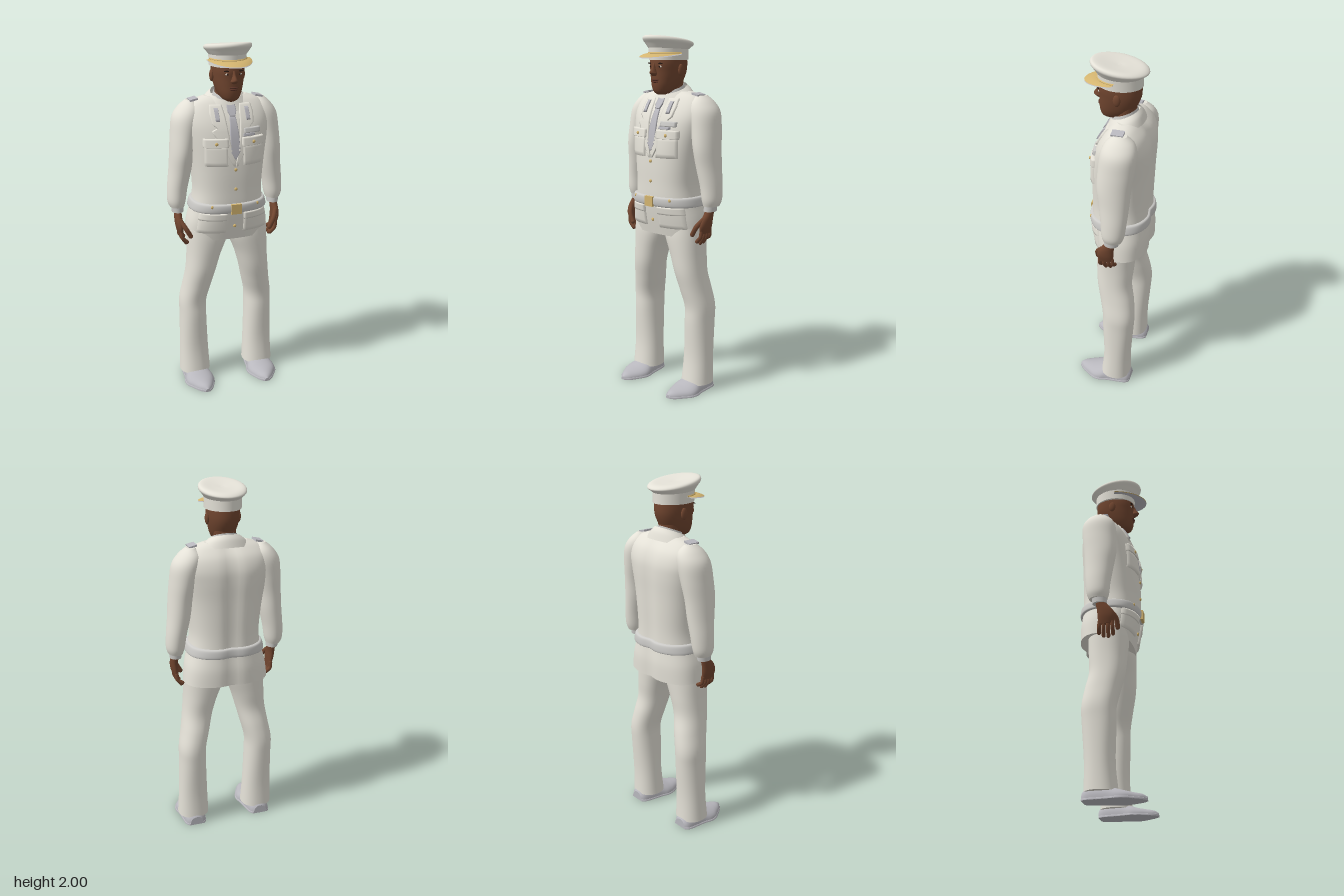
import * as THREE from 'three';
import { mergeGeometries } from 'three/addons/utils/BufferGeometryUtils.js';

const mat = (name, color) => new THREE.MeshStandardMaterial({ name, color, side: THREE.DoubleSide });
const cloth = mat('whiteCloth', 0xe4e1d7), grey = mat('grey', 0xb9b8be), pale = mat('paleGrey', 0xcbcac7);
const skin = mat('skin', 0x70452f), gold = mat('gold', 0xd4b570), dark = mat('darkBrown', 0x2a1c16);
const eyeWhite = mat('eyeWhite', 0xcfc6ba), lip = mat('lip', 0x5a3428);

// Grid surface from a rule f(i, j) -> [x, y, z]; wrap joins the last column to the first
function surface(nu, nv, f, wrap = false) {
  const pos = [], idx = [], cols = wrap ? nu : nu + 1;
  for (let j = 0; j <= nv; j++) for (let i = 0; i < cols; i++) pos.push(...f(i, j));
  for (let j = 0; j < nv; j++) for (let i = 0; i < nu; i++) {
    const k = (i + 1) % cols, a = j * cols + i, b = j * cols + k, c = a + cols, d = b + cols;
    idx.push(a, b, c, b, d, c);
  }
  const g = new THREE.BufferGeometry();
  g.setAttribute('position', new THREE.Float32BufferAttribute(pos, 3));
  g.setIndex(idx);
  g.computeVertexNormals();
  return g;
}

// Catmull-Rom refinement of a table of sections
function smooth(rows, k = 5) {
  const out = [], at = i => rows[Math.min(Math.max(i, 0), rows.length - 1)];
  for (let i = 0; i < rows.length - 1; i++) for (let q = 0; q < k; q++) {
    const t = q / k, [a, b, c, d] = [at(i - 1), at(i), at(i + 1), at(i + 2)];
    out.push(b.map((_, m) => 0.5 * (2 * b[m] + (c[m] - a[m]) * t + (2 * a[m] - 5 * b[m] + 4 * c[m] - d[m]) * t * t
      + (3 * b[m] - a[m] - 3 * c[m] + d[m]) * t * t * t)));
  }
  return [...out, at(rows.length)];
}

// Collapsed and doubled end rows make crisp flat caps
const capped = r => [{ row: r[0], k: 0 }, { row: r[0], k: 1 }, ...r.map(row => ({ row, k: 1 })),
  { row: r[r.length - 1], k: 1 }, { row: r[r.length - 1], k: 0 }];
const power = (v, e) => Math.sign(v) * Math.abs(v) ** e;

// Stack of level sections [y, cx, cz, rx, rz, slope], lowest first
function loft(rows, { n = 2, cap = true, groove = 0, k = 5, seg = 40 } = {}) {
  const r = smooth(rows, k), list = cap ? capped(r) : r.map(row => ({ row, k: 1 }));
  return surface(seg, list.length - 1, (i, j) => {
    const { row: [y, cx, cz, rx, rz, slope = 0], k: size } = list[j], a = i / seg * Math.PI * 2;
    const x = rx * size * power(Math.cos(a), 2 / n);
    let z = -rz * size * power(Math.sin(a), 2 / n);
    const yy = y + slope * z;
    if (z < 0) z += groove * Math.exp(-((x / 0.04) ** 2)) * size;
    return [cx + x, yy, cz + z];
  }, true);
}

// Jacket body: y, half width, front z, back z
const N = 2.5;
const body = [
  [0.91, 0.24, 0.103, -0.188], [1.0, 0.229, 0.122, -0.19], [1.08, 0.208, 0.135, -0.183], [1.13, 0.197, 0.138, -0.18],
  [1.2, 0.192, 0.138, -0.18], [1.3, 0.2, 0.138, -0.183], [1.4, 0.213, 0.133, -0.186], [1.5, 0.232, 0.117, -0.19],
  [1.57, 0.243, 0.095, -0.186], [1.63, 0.232, 0.062, -0.165], [1.675, 0.19, 0.028, -0.128], [1.7, 0.12, 0, -0.1]
];
const section = ([y, w, f, b], grow = 0) => [y, 0, (f + b) / 2, w + grow, (f - b) / 2 + grow];
const fineBody = smooth(body, 6);
function bodyAt(y) {
  const i = Math.max(1, fineBody.findIndex(r => r[0] >= y)), a = fineBody[i - 1], b = fineBody[i];
  return a.map((v, m) => THREE.MathUtils.lerp(v, b[m], (y - a[0]) / (b[0] - a[0])));
}
function frontZ(x, y) {
  const [, , cz, rx, rz] = section(bodyAt(y));
  return cz + rz * Math.max(0, 1 - Math.abs(x / rx) ** N) ** (1 / N);
}

// Cloth panel lying on the jacket front; rows are [y, xInner, xOuter], lowest first
function patch(rows, off, s = 1) {
  const nu = 12, nv = 5 * (rows.length - 1) + 2, clamp = THREE.MathUtils.clamp;
  return surface(nu, nv, (i, j) => {
    const t = clamp((j - 1) / (nv - 2), 0, 1) * (rows.length - 1), q = Math.min(Math.floor(t), rows.length - 2);
    const [y, p, r] = rows[q].map((v, m) => THREE.MathUtils.lerp(v, rows[q + 1][m], t - q));
    const u = clamp((i - 1) / (nu - 2), 0, 1), x = s > 0 ? p + (r - p) * u : -r + (r - p) * u;
    const edge = i === 0 || j === 0 || i === nu || j === nv;
    return [x, y, frontZ(x, y) + (edge ? -0.004 : off)];
  });
}
const rect = (x0, x1, y0, y1) => [[y0, x0, x1], [y1, x0, x1]];

// Round-ended finger along a bent path
function finger(points, r) {
  const path = new THREE.CatmullRomCurve3(points.map(p => new THREE.Vector3(...p)));
  const ends = [points[0], points[points.length - 1]].map(p => new THREE.SphereGeometry(r, 10, 8).translate(...p));
  return mergeGeometries([new THREE.TubeGeometry(path, 10, r, 10), ...ends]);
}

// Shoe sections run heel to toe: z, centre x, half width, height
const shoeRows = smooth([[-0.13, 0.2, 0.04, 0.05], [-0.1, 0.2, 0.06, 0.075], [0, 0.196, 0.073, 0.078], [0.05, 0.195, 0.085, 0.062],
  [0.09, 0.195, 0.08, 0.05], [0.13, 0.191, 0.06, 0.042], [0.17, 0.187, 0.036, 0.034], [0.195, 0.185, 0.01, 0.02]]);
function shoe(s, grow, height) {
  const list = capped(shoeRows);
  return surface(28, list.length - 1, (i, j) => {
    const { row: [z, cx, w, h], k } = list[j], a = i / 28 * Math.PI * 2;
    return [s * cx + k * (w + grow) * Math.cos(a), k * (height || h) * Math.max(0, Math.sin(a)) ** (height ? 0.3 : 0.8), z];
  }, true);
}

export function createModel() {
  const model = new THREE.Group();
  const add = (name, geo, material, p) => {
    const m = new THREE.Mesh(geo, material);
    m.name = name;
    if (p) m.position.set(...p);
    model.add(m);
    return m;
  };
  const ball = (name, material, p, size) => add(name, new THREE.SphereGeometry(1, 20, 14), material, p).scale.set(...size);
  const button = (x, y, off) => ball('button', gold, [x, y, frontZ(x, y) + off], [0.009, 0.009, 0.006]);

  // Jacket, belt and collars
  add('jacket', loft(body.map(r => section(r)), { n: N, groove: 0.014, seg: 72 }), cloth);
  add('belt', loft([[1.075, 0], [1.08, 0.012], [1.102, 0.015], [1.125, 0.012], [1.131, 0]].map(([y, g]) => section(bodyAt(y), g).with(0, y)),
    { n: N, groove: 0.014, cap: false, seg: 72 }), pale);
  add('buckle', new THREE.BoxGeometry(0.058, 0.056, 0.016), gold, [0, 1.103, frontZ(0, 1.1) + 0.015]);
  add('jacketCollar', loft([[1.655, 0, -0.035, 0.145, 0.105, -0.25], [1.69, 0, -0.035, 0.115, 0.09, -0.35], [1.715, 0, -0.032, 0.085, 0.075, -0.4]], { cap: false }), cloth);
  add('shirtCollar', loft([[1.66, 0, -0.03, 0.082, 0.076, -0.2], [1.725, 0, -0.032, 0.067, 0.064, -0.4]], { cap: false }), pale);
  add('shirtFront', patch([[1.35, -0.006, 0.006], [1.5, -0.034, 0.034], [1.67, -0.055, 0.055]], 0.003), cloth);
  add('tie', patch([[1.383, -0.003, 0.003], [1.425, -0.027, 0.027], [1.52, -0.024, 0.024], [1.61, -0.016, 0.016]], 0.009), grey);
  add('tieKnot', patch([[1.607, -0.014, 0.014], [1.635, -0.025, 0.025], [1.672, -0.023, 0.023]], 0.014), grey);
  for (const y of [1.325, 1.215, 0.995]) button(0, y, 0.004);
  add('ribbonBar', patch(rect(0.055, 0.15, 1.518, 1.545), 0.014), pale);
  add('ribbonBar', patch(rect(0.048, 0.115, 1.503, 1.517), 0.014), grey);

  for (const s of [1, -1]) {
    // Lapels, pockets and insignia
    add('lapel', patch([[1.345, 0, 0.012], [1.45, 0.022, 0.07], [1.535, 0.034, 0.122], [1.55, 0.036, 0.092], [1.57, 0.038, 0.115],
      [1.62, 0.042, 0.122], [1.665, 0.05, 0.115]], 0.009, s), cloth);
    add('collarTab', patch(rect(0.075, 0.096, 1.585, 1.65), 0.017, s), grey);
    add('breastPocket', patch(rect(0.045, 0.162, 1.348, 1.46), 0.011, s), cloth);
    add('breastFlap', patch([[1.452, 0.04, 0.168], [1.462, 0.038, 0.169], [1.498, 0.04, 0.168]], 0.019, s), cloth);
    button(s * 0.105, 1.472, 0.02);
    add('hipPocket', patch([[0.958, 0.052, 0.203], [1.06, 0.052, 0.19]], 0.01, s), cloth);
    add('hipFlap', patch([[1.035, 0.05, 0.195], [1.076, 0.05, 0.187]], 0.014, s), cloth);
    button(s * 0.13, 1.117, 0.014);
    add('epaulette', new THREE.BoxGeometry(0.044, 0.01, 0.065), grey, [s * 0.185, 1.687, -0.043]).rotation.z = -s * 0.22;

    // Sleeve, cuff and hand
    const side = rows => rows.map(([y, x, ...rest]) => [y, s * x, ...rest]);
    add('sleeve', loft(side([[1.088, 0.285, -0.043, 0.04, 0.05], [1.125, 0.286, -0.045, 0.051, 0.062], [1.2, 0.279, -0.047, 0.056, 0.07],
      [1.3, 0.263, -0.045, 0.062, 0.081], [1.4, 0.252, -0.042, 0.066, 0.092], [1.5, 0.236, -0.05, 0.074, 0.097],
      [1.59, 0.217, -0.057, 0.081, 0.096], [1.645, 0.2, -0.06, 0.062, 0.076], [1.682, 0.195, -0.06, 0.025, 0.035]])), cloth);
    add('cuff', loft(side([[1.06, 0.284, -0.035, 0.032, 0.04], [1.1, 0.285, -0.038, 0.034, 0.042]])), pale);
    add('hand', loft(side([[0.94, 0.278, -0.003, 0.014, 0.04], [0.98, 0.284, 0, 0.02, 0.046], [1.02, 0.287, -0.008, 0.021, 0.041],
      [1.06, 0.286, -0.027, 0.021, 0.03], [1.08, 0.286, -0.03, 0.021, 0.028]])), skin);
    for (let f = 0; f < 4; f++) {
      const z = 0.031 - f * 0.0225, tip = [0.885, 0.873, 0.877, 0.895][f];
      add('finger', finger([[s * 0.28, 0.955, z], [s * 0.275, 0.92, z * 1.1], [s * 0.25, tip + 0.008, z * 1.15 - 0.003]], 0.0108), skin);
    }
    add('thumb', finger([[s * 0.283, 1.02, 0.02], [s * 0.26, 0.98, 0.05], [s * 0.235, 0.935, 0.055]], 0.0135), skin);

    // Trouser leg and shoe
    add('trouserLeg', loft(side([[0.045, 0.198, -0.037, 0.09, 0.088], [0.2, 0.199, -0.045, 0.083, 0.08], [0.4, 0.201, -0.05, 0.077, 0.09],
      [0.5, 0.2, -0.052, 0.077, 0.093], [0.6, 0.18, -0.037, 0.08, 0.097], [0.7, 0.16, -0.018, 0.085, 0.098],
      [0.8, 0.141, -0.017, 0.096, 0.105], [0.9, 0.12, -0.018, 0.115, 0.111], [0.96, 0.118, -0.02, 0.115, 0.11]]), { n: 2.2 }), cloth);
    add('shoe', shoe(s, 0, 0), grey);
    add('sole', shoe(s, 0.004, 0.014), grey);

    // Paired facial features
    ball('ear', skin, [s * 0.088, 1.815, -0.008], [0.011, 0.032, 0.02]);
    ball('eye', eyeWhite, [s * 0.033, 1.834, 0.099], [0.013, 0.006, 0.006]);
    ball('iris', dark, [s * 0.033, 1.834, 0.103], [0.005, 0.005, 0.004]);
    ball('brow', dark, [s * 0.035, 1.851, 0.101], [0.02, 0.004, 0.006]);
  }

  // Neck, head and face
  add('neck', loft([[1.62, 0, -0.03, 0.065, 0.06], [1.7, 0, -0.033, 0.06, 0.055], [1.78, 0, -0.042, 0.062, 0.052]]), skin);
  add('head', loft([[1.683, 0, 0.045, 0.02, 0.03], [1.698, 0, 0.035, 0.045, 0.06], [1.73, 0, 0.016, 0.064, 0.089], [1.77, 0, 0.004, 0.076, 0.103],
    [1.81, 0, -0.003, 0.083, 0.111], [1.85, 0, -0.003, 0.086, 0.114], [1.9, 0, -0.005, 0.084, 0.108]], { n: 2.15 }), skin);
  add('nose', loft([[1.785, 0, 0.108, 0.012, 0.012], [1.797, 0, 0.112, 0.019, 0.024], [1.808, 0, 0.114, 0.015, 0.025],
    [1.83, 0, 0.108, 0.009, 0.016], [1.852, 0, 0.104, 0.009, 0.01]], { seg: 20 }), skin);
  ball('upperLip', lip, [0, 1.763, 0.104], [0.025, 0.006, 0.01]);
  ball('lowerLip', lip, [0, 1.753, 0.103], [0.022, 0.006, 0.01]);

  // Cap: band, tilted crown, strap and visor
  add('capBand', loft([[1.868, 0, -0.005, 0.098, 0.118, 0], [1.935, 0, -0.003, 0.1, 0.12, 0.05]]), cloth);
  add('capCrown', loft([[1.927, 0, 0, 0.1, 0.12, 0.06], [1.945, 0, 0, 0.114, 0.136, 0.1], [1.963, 0, 0, 0.126, 0.153, 0.13],
    [1.977, 0, 0, 0.121, 0.146, 0.15], [1.982, 0, 0, 0.1, 0.12, 0.14], [1.978, 0, 0, 0.055, 0.065, 0.13], [1.974, 0, 0, 0.01, 0.012, 0.1]]), cloth);
  const arc = i => 0.08 + (Math.PI - 0.16) * i / 32;
  add('capStrap', surface(32, 3, (i, j) => {
    const a = Math.PI - arc(i), r = j % 3 ? 1.04 : 0.99;
    return [0.1 * r * Math.cos(a), 1.899 + 0.004 * j, -0.005 + 0.12 * r * Math.sin(a)];
  }), gold);
  const visor = (drop, flip) => surface(32, 6, (i, j) => {
    const a = flip ? arc(i) : Math.PI - arc(i), t = 1 - j / 6, c = Math.cos(a), q = Math.sin(a);
    return [c * (0.098 + 0.024 * t), 1.904 - 0.021 * t * t * q - drop, (-0.005 + 0.118 * q) * (1 - t) + 0.186 * q * t];
  });
  add('visorTop', visor(0, false), gold);
  add('visorUnderside', visor(0.005, true), grey);
  return model;
}
